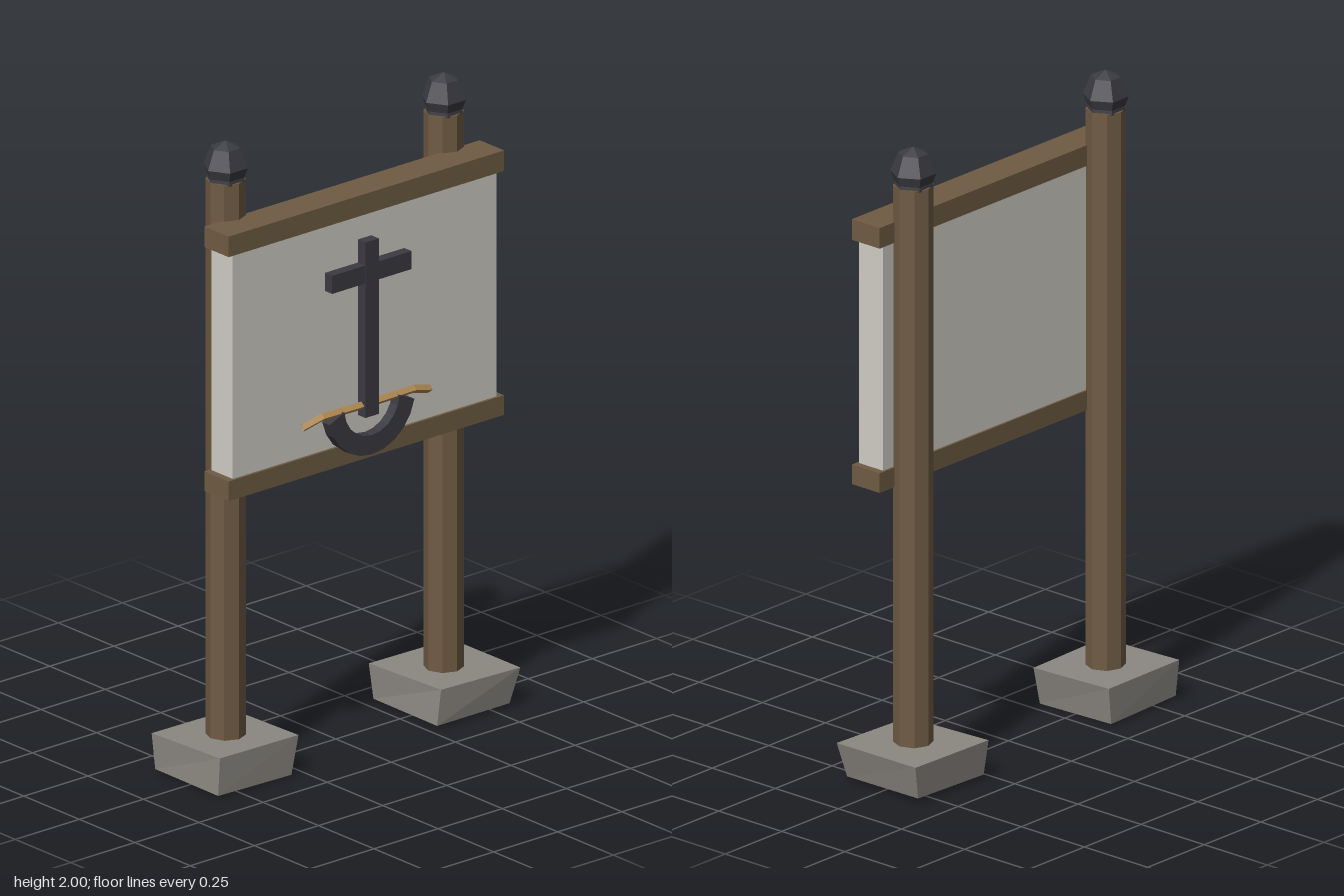
import * as THREE from 'three';

const mat = (name, color) => {
  const m = new THREE.MeshStandardMaterial({ color });
  m.name = name;
  return m;
};

// Gives every face its own normal for a faceted look
function faceted(geometry) {
  const g = geometry.index ? geometry.toNonIndexed() : geometry;
  g.computeVertexNormals();
  return g;
}

// Block whose corners are given as [x, y, z]: back left, back right, front right, front left
function skewedBlock(top, bottom) {
  const g = new THREE.BoxGeometry(1, 1, 1);
  const p = g.attributes.position;
  for (let i = 0; i < p.count; i++) {
    const right = p.getX(i) > 0, front = p.getZ(i) > 0;
    const corner = front ? (right ? 2 : 3) : (right ? 1 : 0);
    p.setXYZ(i, ...(p.getY(i) > 0 ? top : bottom)[corner]);
  }
  return faceted(g);
}

export function createModel() {
  const wood = mat('wood', 0x6e5b43);
  const iron = mat('dark iron', 0x3a3a41);
  const stone = mat('stone', 0x8b8781);
  const board = mat('pale board', 0xcfccc3);
  const rope = mat('rope', 0xb08a52);

  const model = new THREE.Group();
  model.name = 'signBoard';
  const add = (name, geometry, material, x = 0, y = 0, z = 0, parent = model) => {
    const mesh = new THREE.Mesh(geometry, material);
    mesh.name = name;
    mesh.position.set(x, y, z);
    parent.add(mesh);
    return mesh;
  };
  const box = (w, h, d) => new THREE.BoxGeometry(w, h, d);

  // Posts with six-sided caps
  const postZ = -0.005;
  const capProfile = [[0, 1.875], [0.06, 1.875], [0.058, 1.89], [0.069, 1.92], [0.046, 1.98], [0, 2]]
    .map(([r, y]) => new THREE.Vector2(r, y));
  for (const [side, x] of [['right', -0.425], ['left', 0.425]]) {
    add(side + 'Post', faceted(new THREE.CylinderGeometry(0.06, 0.06, 1.868, 8)), wood, x, 0.946, postZ);
    add(side + 'PostCap', faceted(new THREE.LatheGeometry(capProfile, 6, Math.PI / 2)), iron, x, 0, postZ);
  }

  // Rough stone footings
  add('rightFooting', skewedBlock(
    [[-0.59, 0.125, -0.148], [-0.279, 0.122, -0.148], [-0.264, 0.12, 0.137], [-0.573, 0.125, 0.14]],
    [[-0.583, 0.012, -0.14], [-0.295, 0.005, -0.143], [-0.29, 0, 0.135], [-0.58, 0.008, 0.14]]), stone);
  add('leftFooting', skewedBlock(
    [[0.271, 0.122, -0.165], [0.585, 0.122, -0.157], [0.587, 0.122, 0.153], [0.291, 0.122, 0.138]],
    [[0.278, 0.012, -0.152], [0.56, 0.015, -0.145], [0.558, 0.012, 0.138], [0.278, 0.01, 0.135]]), stone);

  // Board between two rails
  add('panel', box(1.028, 0.72, 0.095), board, 0, 1.345, 0.082);
  add('topRail', box(1.074, 0.065, 0.11), wood, 0, 1.733, 0.083);
  add('bottomRail', box(1.074, 0.062, 0.11), wood, 0, 0.96, 0.083);

  // Anchor emblem
  const anchor = new THREE.Group();
  anchor.name = 'anchor';
  model.add(anchor);
  add('shank', box(0.052, 0.555, 0.035), iron, 0, 1.347, 0.146, anchor);
  add('stock', box(0.31, 0.057, 0.033), iron, 0, 1.523, 0.146, anchor);
  const arc = (r, from, to, n = 10) => Array.from({ length: n + 1 }, (_, i) => {
    const a = THREE.MathUtils.degToRad(from + (to - from) * i / n);
    return new THREE.Vector2(r * Math.cos(a), r * Math.sin(a));
  });
  const arms = new THREE.Shape([...arc(0.169, 192, 348), ...arc(0.108, 355, 185)]);
  add('arms', new THREE.ExtrudeGeometry(arms, { depth: 0.035, bevelEnabled: false }), iron, 0, 1.117, 0.128, anchor);

  // Rope draped behind the anchor arms, bent once at each end
  const ropePath = new THREE.CatmullRomCurve3([
    [-0.248, 1.085, 0.135], [-0.18, 1.104, 0.143], [0, 1.104, 0.146], [0.18, 1.104, 0.143], [0.248, 1.085, 0.135],
  ].map((p) => new THREE.Vector3(...p)), false, 'catmullrom', 0);
  rope.side = THREE.DoubleSide;
  add('rope', faceted(new THREE.TubeGeometry(ropePath, 7, 0.013, 4)), rope, 0, 0, 0, anchor);

  return model;
}
